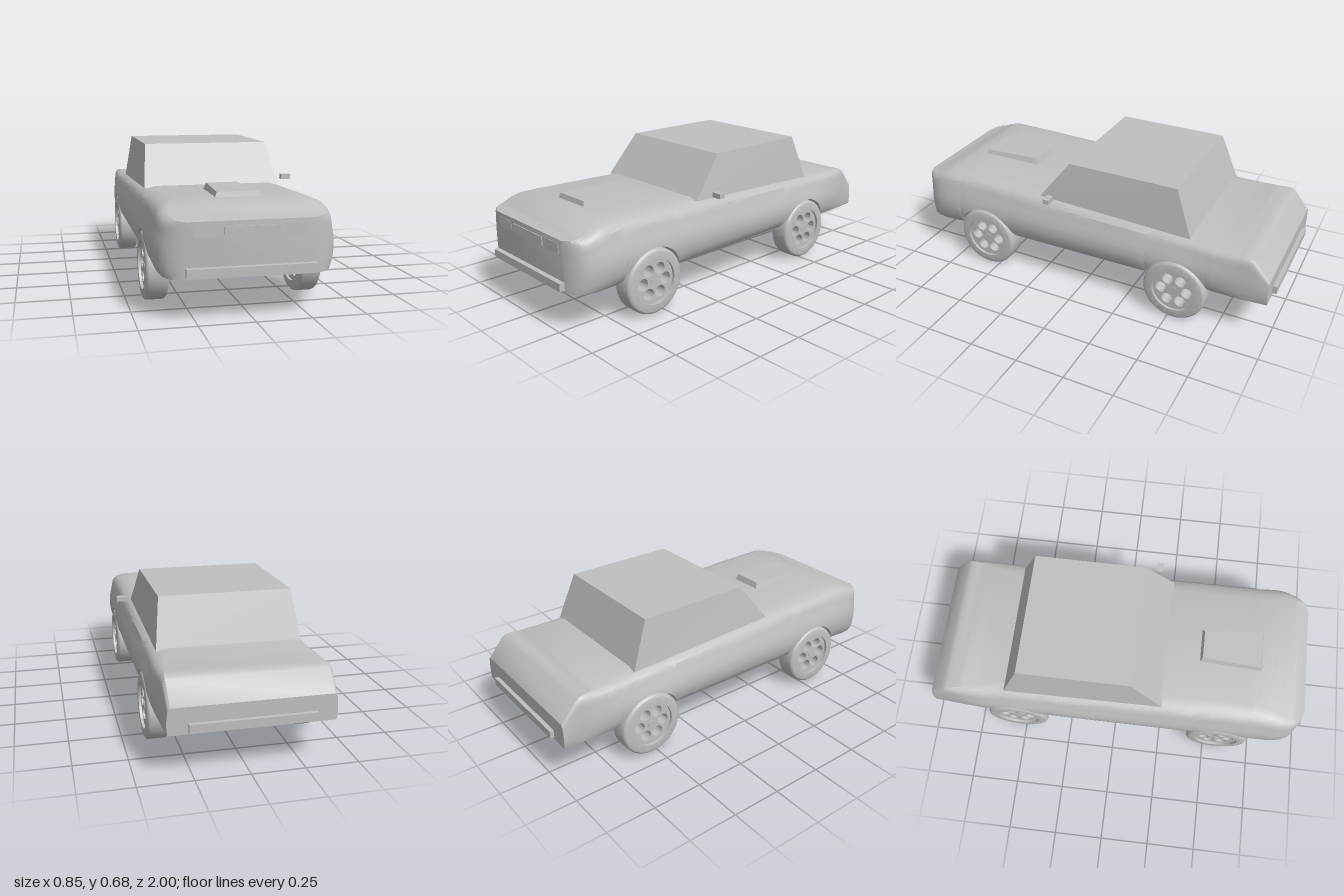
import * as THREE from 'three';
import { toCreasedNormals } from 'three/addons/utils/BufferGeometryUtils.js';

const CX = -0.013; // centre line of the car, the one mirror shifts it
const ARCHES = [0.559, -0.527], ARCH_R = 0.17, WHEEL_R = 0.162, AXLE_Y = 0.164;

// Piecewise linear lookup in a table of [key, value], keys rising
function lookup(table, k) {
  if (k <= table[0][0]) return table[0][1];
  for (let i = 1; i < table.length; i++) {
    const [k0, v0] = table[i - 1], [k1, v1] = table[i];
    if (k <= k1) return v0 + (v1 - v0) * (k - k0) / (k1 - k0);
  }
  return table[table.length - 1][1];
}

// Body curves along z
const TOP = [[-0.98, 0.335], [-0.9, 0.43], [-0.875, 0.441], [-0.82, 0.441], [-0.72, 0.444], [-0.57, 0.455],
  [-0.3, 0.466], [0, 0.475], [0.24, 0.483], [0.5, 0.491], [0.7, 0.496], [0.8, 0.492], [0.85, 0.477],
  [0.9, 0.454], [0.93, 0.446], [0.975, 0.436]];
const WIDTH = [[-0.98, 0.38], [-0.9, 0.388], [-0.8, 0.401], [-0.7, 0.41], [-0.5, 0.414], [0.7, 0.414],
  [0.8, 0.411], [0.85, 0.406], [0.9, 0.391], [0.93, 0.37], [0.955, 0.338], [0.975, 0.285]];
const SQUARE = [[-0.98, 0.85], [-0.88, 0.8], [-0.6, 0.1], [-0.4, 0], [0.75, 0], [0.9, 0.5], [0.975, 0.95]];
const BASE = [[-0.98, 0.211], [0.975, 0.193]];
// Side shape: share of full width by share of height
const SIDE = [[0, 0.89], [0.06, 0.935], [0.18, 0.975], [0.36, 1], [0.52, 0.99], [0.62, 0.967], [0.76, 0.935],
  [0.86, 0.915], [0.92, 0.875], [0.965, 0.81], [1, 0.71]];
const LEVELS = [0, 0.06, 0.18, 0.36, 0.52, 0.64, 0.76, 0.86, 0.92, 0.965, 1];

function bodyGeometry() {
  const zs = [0.94, 0.965, 0.3, 0.1, -0.2, -0.75, -0.84];
  for (const t of [TOP, WIDTH]) t.forEach(([z]) => zs.push(z));
  for (const c of ARCHES) {
    for (let i = 0; i <= 18; i++) zs.push(c + ARCH_R * Math.cos(0.2 + (Math.PI - 0.4) * i / 18));
  }
  const stations = [...new Set(zs)].sort((a, b) => b - a);
  const pos = [], idx = [], n = LEVELS.length * 2;
  for (const z of stations) {
    const base = lookup(BASE, z), top = lookup(TOP, z), w = lookup(WIDTH, z), sq = lookup(SQUARE, z);
    let low = base;
    for (const c of ARCHES) {
      const d = ARCH_R ** 2 - (z - c) ** 2;
      if (d > 0) low = Math.max(low, AXLE_Y + Math.sqrt(d));
    }
    const half = LEVELS.map((u) => {
      const y = low + (top - low) * u;
      const f = lookup(SIDE, (y - base) / (top - base));
      return [w * (f + (1 - f) * sq), y];
    });
    half.forEach(([x, y]) => pos.push(CX + x, y, z));
    half.reverse().forEach(([x, y]) => pos.push(CX - x, y, z));
  }
  for (let s = 0; s < stations.length - 1; s++) {
    for (let k = 0; k < n; k++) {
      const a = s * n + k, b = s * n + (k + 1) % n, c = b + n, d = a + n;
      idx.push(a, d, c, a, c, b);
    }
  }
  // Flat nose and tail
  const last = (stations.length - 1) * n;
  for (let k = 1; k < n - 1; k++) idx.push(0, k, k + 1, last, last + k + 1, last + k);
  const g = new THREE.BufferGeometry();
  g.setAttribute('position', new THREE.Float32BufferAttribute(pos, 3));
  g.setIndex(idx);
  return toCreasedNormals(g, 0.5);
}

// Box whose eight corners are placed by a rule (side x, top?, front?) => [x, y, z]
function shapedBox(rule) {
  const g = new THREE.BoxGeometry(1, 1, 1).toNonIndexed(), p = g.attributes.position;
  for (let i = 0; i < p.count; i++) {
    p.setXYZ(i, ...rule(Math.sign(p.getX(i)), p.getY(i) > 0, p.getZ(i) > 0));
  }
  g.computeVertexNormals();
  return g;
}

// Tyre with rounded shoulders, axle along x
function tyreGeometry() {
  const h = 0.053, r = WHEEL_R, inner = 0.112, c = 0.02, pts = [new THREE.Vector2(inner, -h)];
  for (let i = 0; i <= 5; i++) {
    const a = -Math.PI / 2 + i * Math.PI / 10;
    pts.push(new THREE.Vector2(r - c + c * Math.cos(a), -h + c + c * Math.sin(a)));
  }
  for (let i = 0; i <= 5; i++) {
    const a = i * Math.PI / 10;
    pts.push(new THREE.Vector2(r - c + c * Math.cos(a), h - c + c * Math.sin(a)));
  }
  pts.push(new THREE.Vector2(inner, h), new THREE.Vector2(inner, -h));
  return toCreasedNormals(new THREE.LatheGeometry(pts, 48).rotateZ(Math.PI / 2), 0.6);
}

// Rim disc with six round openings
function rimGeometry() {
  const s = new THREE.Shape();
  s.absarc(0, 0, 0.113, 0, Math.PI * 2, false);
  for (let i = 0; i < 6; i++) {
    const a = i * Math.PI / 3, hole = new THREE.Path();
    hole.absarc(0.067 * Math.cos(a), 0.067 * Math.sin(a), 0.029, 0, Math.PI * 2, true);
    s.holes.push(hole);
  }
  const g = new THREE.ExtrudeGeometry(s, { depth: 0.08, bevelEnabled: false, curveSegments: 24 });
  return toCreasedNormals(g.translate(0, 0, -0.04).rotateY(Math.PI / 2), 0.6);
}

export function createModel() {
  const car = new THREE.Group();
  car.name = 'car';
  const grey = new THREE.MeshStandardMaterial({ color: 0xbfbfbf });
  grey.name = 'plain grey';
  const add = (name, geometry, x = 0, y = 0, z = 0, parent = car) => {
    const m = new THREE.Mesh(geometry, grey);
    m.name = name;
    m.position.set(x, y, z);
    parent.add(m);
    return m;
  };
  const box = (name, w, h, d, x, y, z) => add(name, new THREE.BoxGeometry(w, h, d), x, y, z);

  add('body', bodyGeometry());

  // Cabin with sloping glass
  add('cabin', shapedBox((s, top, front) => [
    CX + s * (top ? 0.321 : 0.35),
    top ? 0.681 : (front ? 0.475 : 0.445),
    front ? (top ? 0.08 : 0.242) : (top ? -0.492 : -0.58),
  ]));

  // Bonnet scoop, wider towards the nose
  add('bonnetScoop', shapedBox((s, top, front) => [
    CX + s * ((front ? 0.11 : 0.09) - (top ? 0.014 : 0)),
    top ? 0.519 : 0.48,
    front ? (top ? 0.728 : 0.738) : (top ? 0.426 : 0.412),
  ]));

  // Nose and tail details
  box('grille', 0.247, 0.042, 0.009, CX, 0.392, 0.975);
  for (const s of [-1, 1]) box(s > 0 ? 'leftHeadlight' : 'rightHeadlight', 0.104, 0.048, 0.008, CX + s * 0.2, 0.392, 0.973);
  box('frontBumper', 0.572, 0.039, 0.03, CX, 0.224, 0.985);
  box('rearBumper', 0.572, 0.039, 0.025, CX, 0.242, -0.9875);
  box('leftMirror', 0.05, 0.025, 0.033, 0.4, 0.503, 0.158);

  // Wheels
  const tyre = tyreGeometry(), rim = rimGeometry();
  const hub = new THREE.CylinderGeometry(0.019, 0.019, 0.086, 24).rotateZ(Math.PI / 2);
  ARCHES.forEach((z, i) => {
    for (const s of [-1, 1]) {
      const wheel = new THREE.Group();
      wheel.name = (i ? 'rear' : 'front') + (s > 0 ? 'Left' : 'Right') + 'Wheel';
      wheel.position.set(CX + s * 0.36, AXLE_Y, z);
      add('tyre', tyre, 0, 0, 0, wheel);
      add('rim', rim, 0, 0, 0, wheel);
      add('hub', hub, 0, 0, 0, wheel);
      car.add(wheel);
    }
  });
  return car;
}
